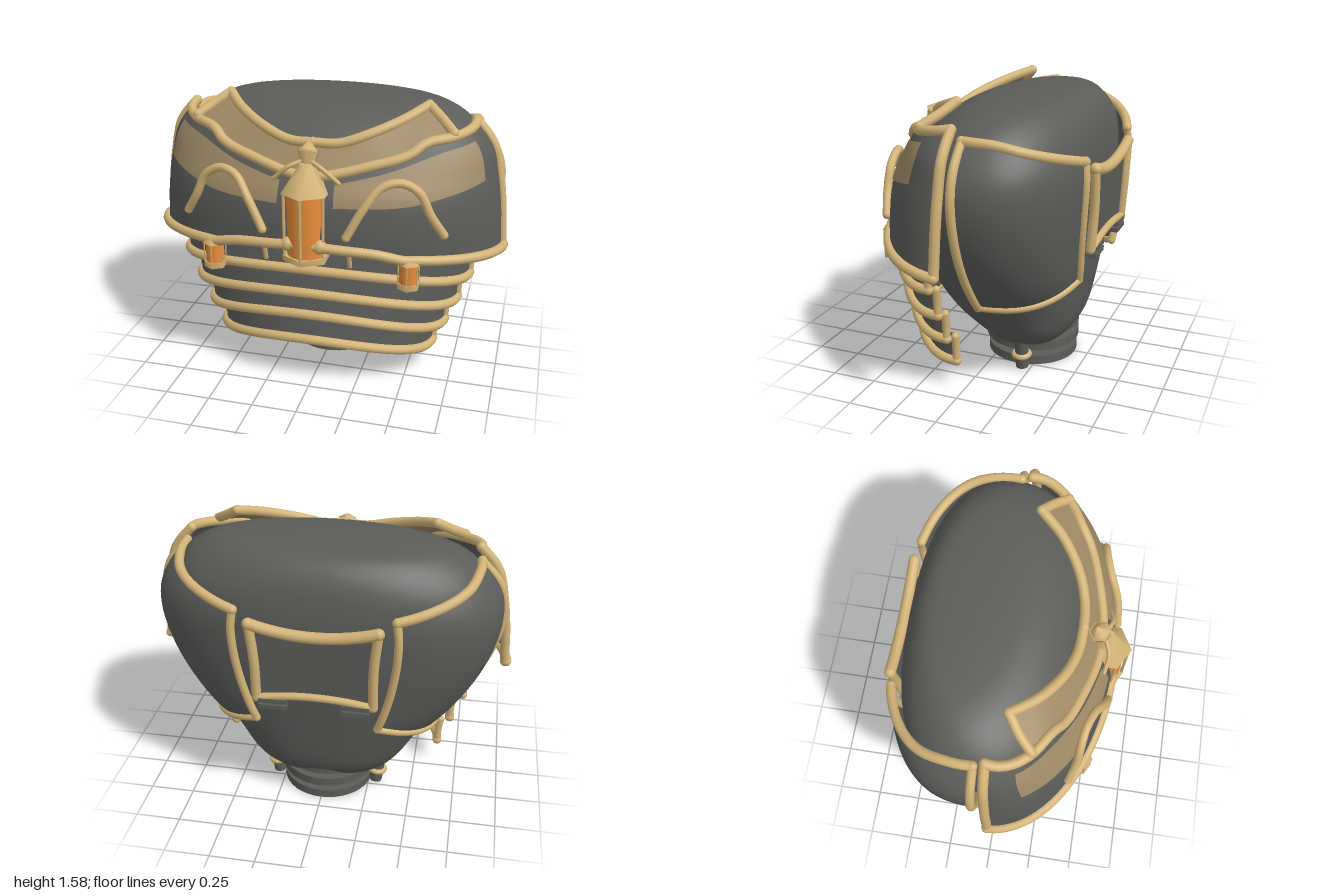
import * as THREE from 'three';

const V = (x, y, z) => new THREE.Vector3(x, y, z);
const D = Math.PI / 180;

// smooth value table: pairs of [key, value]
function table(rows) {
  const it = new THREE.CubicInterpolant(
    new Float32Array(rows.map(r => r[0])), new Float32Array(rows.map(r => r[1])), 1);
  const lo = rows[0][0], hi = rows[rows.length - 1][0];
  return k => it.evaluate(Math.min(hi - 1e-5, Math.max(lo, k)))[0];
}

// surface grid from fn(u, v), optionally closed in u
function grid(nu, nv, fn, closed = false) {
  const pos = [], idx = [], cols = closed ? nu : nu + 1;
  for (let j = 0; j <= nv; j++)
    for (let i = 0; i < cols; i++) pos.push(...fn(i / nu, j / nv).toArray());
  for (let j = 0; j < nv; j++)
    for (let i = 0; i < nu; i++) {
      const a = j * cols + i, b = j * cols + (i + 1) % cols, c = a + cols, d = b + cols;
      idx.push(a, b, d, a, d, c);
    }
  const g = new THREE.BufferGeometry();
  g.setAttribute('position', new THREE.Float32BufferAttribute(pos, 3));
  g.setIndex(idx);
  g.computeVertexNormals();
  return g;
}

export function createModel() {
  const model = new THREE.Group();
  const mat = (name, color, side = THREE.FrontSide) => {
    const m = new THREE.MeshStandardMaterial({ color, side });
    m.name = name;
    return m;
  };
  const dark = mat('dark grey', 0x5c5c59, THREE.DoubleSide);
  const tan = mat('tan trim', 0xd3b377);
  const patchMat = mat('faded tan', 0x9e8965, THREE.DoubleSide);
  const orange = mat('orange glass', 0xf0923c);

  const add = (name, geo, m, p, parent = model) => {
    const mesh = new THREE.Mesh(geo, m);
    mesh.name = name;
    if (p) mesh.position.copy(p);
    parent.add(mesh);
    return mesh;
  };
  // rounded tube through points, with ball ends
  const tube = (name, pts, r = 0.027) => {
    const c = new THREE.CatmullRomCurve3(pts);
    add(name, new THREE.TubeGeometry(c, Math.max(6, pts.length * 4), r, 10), tan);
    for (const p of [pts[0], pts[pts.length - 1]])
      add(name + 'End', new THREE.SphereGeometry(r * 1.03, 10, 8), tan, p);
  };
  const sample = (n, fn) => Array.from({ length: n + 1 }, (_, i) => fn(i / n));
  const mix = THREE.MathUtils.lerp;
  const sp = (v, e) => Math.sign(v) * Math.abs(v) ** e;

  // torso: rows of half width, height, front z, back z; corners get rounder toward the top
  const rows = [[0, .15, -.16, -.16], [.28, .152, -.01, -.35], [.36, .19, .05, -.41], [.44, .27, .13, -.455], [.53, .4, .25, -.485],
    [.66, .6, .34, -.515], [.77, .8, .38, -.545], [.84, 1, .4, -.56], [.86, 1.2, .38, -.56],
    [.82, 1.36, .32, -.54], [.73, 1.46, .23, -.5], [.57, 1.525, .1, -.43], [.32, 1.545, -.04, -.32], [0, 1.55, -.17, -.17]];
  const front = new THREE.CatmullRomCurve3(rows.map(r => V(r[0], r[1], r[2])), false, 'catmullrom', .5);
  const back = new THREE.CatmullRomCurve3(rows.map(r => V(0, r[1], r[3])), false, 'catmullrom', .5);
  add('torso', grid(64, 52, (u, v) => {
    const f = front.getPoint(v), b = back.getPoint(v), a = -u * Math.PI * 2;
    const e = .8 + .16 * THREE.MathUtils.smoothstep(f.y, 1.3, 1.5);
    return V(f.x * sp(Math.cos(a), e), f.y, (f.z + b.z) / 2 + (f.z - b.z) / 2 * sp(Math.sin(a), e));
  }, true), dark);

  // chest shell: elliptical cross-sections, angle 0 at the front, leaning back slightly
  const cx = table([[.7, .99], [.8, .975], [1, .96], [1.2, .93], [1.35, .89], [1.43, .83], [1.5, .76]]);
  const cz = table([[.7, .55], [.85, .56], [1, .56], [1.15, .535], [1.26, .478], [1.36, .425], [1.5, .37]]);
  const chest = (deg, y, off = 0) => V((cx(y) + off) * Math.sin(deg * D), y,
    (cz(y) + off) * Math.cos(deg * D) - .03 * (y - .78));
  const topT = table([[0, 1.25], [6, 1.26], [20, 1.31], [34, 1.36], [42, 1.41], [57, 1.43], [90, 1.47]]);
  const botT = table([[0, .91], [8, .9], [25, .87], [30, .845], [34, .84], [60, .81], [90, .78]]);
  const top = a => topT(Math.abs(a)), bot = a => botT(Math.abs(a));
  add('chestPlate', grid(72, 24, (u, v) => {
    const a = mix(-90, 90, u);
    return chest(a, mix(bot(a), top(a), v));
  }), dark);
  tube('chestTopTrim', sample(40, t => chest(mix(-90, 90, t), top(mix(-90, 90, t)))));
  tube('chestBottomTrim', sample(40, t => chest(mix(-90, 90, t), bot(mix(-90, 90, t)), .008)));

  // side and back panel surface, angle 0 at the back
  const px = table([[.48, .62], [.6, .72], [.75, .82], [.9, .89], [1.1, .938], [1.25, .925], [1.36, .86], [1.43, .79]]);
  const pz = table([[.48, .44], [.6, .48], [.8, .505], [1, .525], [1.2, .535], [1.3, .52], [1.43, .46]]);
  const panel = (deg, y) => V(px(y) * sp(Math.sin(deg * D), .8), y, -.08 - pz(y) * sp(Math.cos(deg * D), .8));
  const pTop = table([[20, 1.27], [40, 1.33], [60, 1.38], [75, 1.41], [90, 1.42]]);
  const pBot = table([[20, .61], [40, .55], [60, .515], [90, .495]]);

  // collar upper edge, centre to tip
  const collarPts = [V(0, 1.4, .36), V(.13, 1.4, .35), V(.28, 1.445, .3), V(.44, 1.505, .19), V(.55, 1.555, .06)];
  const collarCurve = new THREE.CatmullRomCurve3(collarPts);
  const patchHi = table([[9, 1.225], [25, 1.28], [45, 1.36], [69, 1.4]]);
  const patchLo = table([[9, 1.115], [32, 1.125], [50, 1.165], [69, 1.205]]);

  for (const s of [1, -1]) {
    const M = v => V(v.x * s, v.y, v.z);
    tube('chestSideTrim', sample(10, t => M(chest(90, mix(.78, 1.47, t)))));

    // faded patch and arched cord on the chest
    add('chestPatch', grid(32, 10, (u, v) => {
      const a = mix(9, 69, u);
      return M(chest(a, mix(patchLo(a), patchHi(a), v), .007));
    }), patchMat);
    const arch = [[.69, .97], [.62, 1.08], [.55, 1.2], [.46, 1.25], [.37, 1.23], [.3, 1.13], [.22, .97]];
    tube('chestArch', arch.map(([x, y]) =>
      M(chest(Math.asin(x / cx(y)) / D, y, .015 + Math.max(0, y - 1.05) * .16))), .023);

    // collar half
    add('collar', grid(24, 6, (u, v) => {
      const a = u * 58;
      return M(chest(a, top(a)).lerp(collarCurve.getPoint(u), v));
    }), patchMat);
    tube('collarTrim', collarPts.map(M));
    tube('collarTipTrim', [V(.55, 1.555, .06), V(.63, 1.5, .12), V(.7, 1.45, .19)].map(M));

    // side and back panel with its border
    add('sidePanel', grid(28, 20, (u, v) => {
      const a = mix(22, 90, u);
      return M(panel(a, mix(pBot(a), pTop(a), v)));
    }), dark);
    const edge = (f, n = 14) => sample(n, t => M(f(t)));
    tube('panelTopTrim', edge(t => panel(mix(22, 90, t), pTop(mix(22, 90, t)))), .026);
    tube('panelBottomTrim', edge(t => panel(mix(22, 90, t), pBot(mix(22, 90, t)))), .02);
    tube('panelBackTrim', edge(t => panel(22, mix(pBot(22), pTop(22), t)), 8), .022);
    tube('panelFrontTrim', edge(t => panel(90, mix(.495, 1.42, t)), 8), .024);

    // back plate side border and clips
    tube('backPlateSideTrim', [V(.33 * s, 1.22, -.605), V(.31 * s, 1, -.6), V(.31 * s, .775, -.585)], .026);
    for (const y of [.735, .77])
      add('backClip', new THREE.BoxGeometry(.15, .025, .045), dark, V(.22 * s, y, -.59));

    // base posts with rings
    const post = new THREE.Group();
    post.name = 'basePost';
    post.position.set(.3 * s, .1, -.2);
    post.rotation.z = -.1 * s;
    model.add(post);
    add('postRod', new THREE.CylinderGeometry(.04, .036, .18, 16), dark, null, post);
    add('postRing', new THREE.TorusGeometry(.042, .016, 8, 20), tan, V(0, -.01, 0), post).rotation.x = Math.PI / 2;

    // lantern straps and small hangers
    tube('lanternStrap', [V(.02 * s, 1.34, .48), V(.09 * s, 1.31, .51), V(.17 * s, 1.24, .5)], .012);
    add('trimKnot', new THREE.SphereGeometry(.04, 12, 10), tan, V(.085 * s, .905, .555));
    tube('hanger', [V(.23 * s, .88, .52), V(.23 * s, .78, .49)], .013);
  }

  // back plate
  const bTop = x => 1.22 - .05 * (1 - (x / .33) ** 2), bBot = x => .775 + .03 * (1 - (x / .31) ** 2);
  add('backPlate', grid(12, 6, (u, v) => {
    const x = mix(-.32, .32, u);
    return V(x, mix(bBot(x), bTop(x), v), mix(-.58, -.6, v));
  }), dark);
  tube('backPlateTopTrim', sample(8, t => V(mix(-.33, .33, t), bTop(mix(-.33, .33, t)), -.605)), .031);
  tube('backPlateBottomTrim', sample(8, t => V(mix(-.31, .31, t), bBot(mix(-.31, .31, t)), -.59)), .021);

  // four overlapping belly bands: half width, end height, centre height, end z, front z
  for (const [w, ye, yc, z0, z1] of [[.82, .64, .73, .11, .49], [.76, .475, .59, .09, .49],
    [.695, .315, .45, .075, .475], [.63, .16, .285, .05, .46]]) {
    // the plate flares out at the ends and sits back at the front
    const band = (a, h, flare, inset) => V((w + flare) * Math.sin(a * D),
      mix(ye, yc, Math.cos(a * D) ** 2.2) + h, z0 + (z1 - z0 - inset) * Math.cos(a * D));
    add('bellyBand', grid(40, 6, (u, v) =>
      band(mix(-90, 90, u), .01 + v * .16, .015 * v * v, .02 + .03 * v)), dark);
    tube('bellyBandTrim', sample(24, t => band(mix(-90, 90, t), 0, 0, 0)));
    for (const a of [-90, 90])
      tube('bellyBandSideTrim', [band(a, 0, 0, 0), band(a, .08, .003, 0), band(a, .15, .013, 0)], .022);
  }

  // base discs
  for (const [y, r, h] of [[.03, .26, .05], [.122, .27, .05], [.205, .27, .045]])
    add('baseDisc', new THREE.CylinderGeometry(r, r, h, 40), dark, V(0, y, -.16));

  // lantern built upright from its base
  const lantern = (name, p, r, h, hat) => {
    const g = new THREE.Group();
    g.name = name;
    g.position.copy(p);
    model.add(g);
    add('glass', new THREE.CylinderGeometry(r * .86, r * .86, h, 24), orange, V(0, h / 2, 0), g);
    add('lanternBase', new THREE.CylinderGeometry(r * 1.08, r * 1.08, .03, 6), tan, V(0, -.015, 0), g);
    for (let i = 0; i < 6; i++) {
      const a = i * 60 * D;
      add('lanternBar', new THREE.CylinderGeometry(r * .07, r * .07, h, 6), tan,
        V(r * Math.sin(a), h / 2, r * Math.cos(a)), g);
    }
    add('lanternRoof', new THREE.CylinderGeometry(hat ? .035 : r * .8, r * 1.13, hat ? .15 : .03, 6), tan,
      V(0, h + (hat ? .075 : .01), 0), g);
    return g;
  };
  const main = lantern('mainLantern', V(0, .84, .5), .12, .34, true);
  add('lanternKnob', new THREE.ConeGeometry(.04, .07, 8), tan, V(0, -.06, 0), main).rotation.x = Math.PI;
  add('lanternNeck', new THREE.CylinderGeometry(.06, .035, .08, 6), tan, V(0, .505, -.04), main).rotation.x = -.4;
  add('lanternFinial', new THREE.ConeGeometry(.06, .06, 6), tan, V(0, .565, -.063), main).rotation.x = -.4;
  for (const s of [1, -1]) lantern('sideLantern', V(.535 * s, .71, .455), .058, .115, false);

  return model;
}
